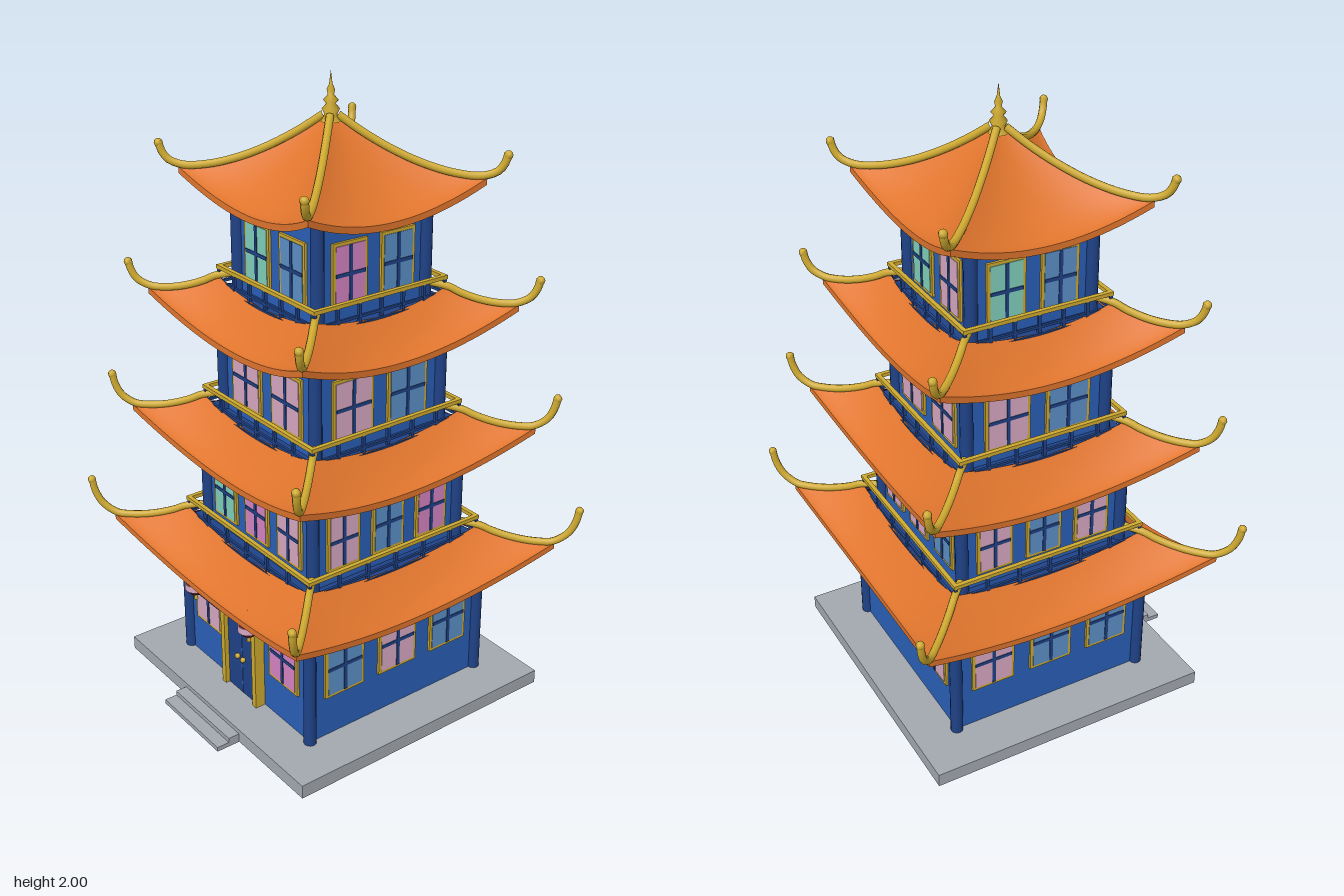
import * as THREE from 'three';
import { ParametricGeometry } from 'three/addons/geometries/ParametricGeometry.js';

const paint = (name, color) => {
  const m = new THREE.MeshStandardMaterial({ color });
  m.name = name;
  return m;
};

export function createModel() {
  const wall = paint('wall blue', 0x2a60b8), navy = paint('dark blue', 0x1f4287);
  const orange = paint('roof orange', 0xe0752d), red = paint('eave red', 0x6e1a22);
  const gold = paint('gold', 0xcfaa30), stone = paint('stone grey', 0xa3a8b0);
  const glass = {
    T: paint('teal glass', 0x80d0bc), B: paint('blue glass', 0x5c90c6),
    L: paint('pale pink glass', 0xd8a8c2), M: paint('pink glass', 0xd684c4),
  };
  const model = new THREE.Group();
  model.name = 'pagoda';

  const add = (parent, name, geo, mat, x = 0, y = 0, z = 0) => {
    const mesh = new THREE.Mesh(geo, mat);
    mesh.name = name;
    mesh.position.set(x, y, z);
    parent.add(mesh);
    return mesh;
  };
  const box = (parent, name, w, h, d, mat, x, y, z) =>
    add(parent, name, new THREE.BoxGeometry(w, h, d), mat, x, y, z);
  const group = (parent, name, turn = 0) => {
    const g = new THREE.Group();
    g.name = name;
    g.rotation.y = turn * Math.PI / 2;
    parent.add(g);
    return g;
  };

  // Stone base and steps
  box(model, 'base', 0.97, 0.045, 0.95, stone, 0, 0.0225, 0);
  box(model, 'upperStep', 0.306, 0.03, 0.05, stone, 0, 0.015, 0.488);
  box(model, 'lowerStep', 0.306, 0.015, 0.045, stone, 0, 0.0075, 0.5325);

  // Window: gold frame, pane and cross bars
  function addWindow(parent, pane, x, y, z, w, h) {
    const g = group(parent, 'window');
    g.position.set(x, y, z);
    box(g, 'frame', w, h, 0.008, gold, 0, 0, 0.004);
    box(g, 'pane', w - 0.02, h - 0.02, 0.004, pane, 0, 0, 0.008);
    box(g, 'uprightBar', 0.011, h - 0.02, 0.005, navy, 0, 0, 0.01);
    box(g, 'crossBar', w - 0.02, 0.011, 0.005, navy, 0, 0, 0.01);
  }

  // Storey: walls, corner columns and windows on four faces (front, right, back, left)
  function addStorey({ half, y0, y1, win }) {
    const g = group(model, 'storey');
    box(g, 'walls', half * 2, y1 - y0, half * 2, wall, 0, (y0 + y1) / 2, 0);
    for (let turn = 0; turn < 4; turn++) {
      const face = group(g, 'face', turn);
      add(face, 'column', new THREE.CylinderGeometry(0.02, 0.02, y1 - y0 + 0.012, 12), navy,
        half, (y0 + y1) / 2 + 0.006, half);
      const row = win.panes[turn];
      for (let i = 0; i < row.length; i++)
        addWindow(face, glass[row[i]], (i - (row.length - 1) / 2) * win.gap, win.y, half, win.w, win.h);
    }
  }

  // Curved roof: swept-up corners, red underside and gold hip ridges
  function addRoof({ inner, mid, corner, eave, drop, base, lift, tip, start }) {
    const g = group(model, 'roof');
    const height = (s, t) => eave + drop * Math.pow(1 - t, 1.5)
      + lift * s * s * (base + (1 - base) * Math.pow(t, 1.3));
    const at = (s, t, down, out) => out.set(
      s * THREE.MathUtils.lerp(inner, corner, t),
      height(s, t) - down,
      THREE.MathUtils.lerp(inner, mid + (corner - mid) * s * s, t));
    const thick = 0.02;
    const top = new ParametricGeometry((u, v, p) => at(u * 2 - 1, 1 - v, 0, p), 20, 12);
    const under = new ParametricGeometry((u, v, p) => at(u * 2 - 1, v, thick, p), 20, 12);
    const rim = new ParametricGeometry((u, v, p) => at(u * 2 - 1, 1, thick * (1 - v), p), 20, 1);

    const path = start.map(([r, y]) => new THREE.Vector3(r, y, r));
    for (const t of [0.04, 0.2, 0.4, 0.6, 0.8, 0.97]) {
      const p = at(1, t, -0.008, new THREE.Vector3());
      path.push(p);
    }
    const [tx, ty] = tip, cy = height(1, 1);
    for (const [a, b] of [[0.55, 0.3], [0.88, 0.65], [1, 1]])
      path.push(new THREE.Vector3(1, 0, 1).multiplyScalar(corner + (tx - corner) * a)
        .setY(cy + (ty - cy) * b));
    const ridge = new THREE.TubeGeometry(new THREE.CatmullRomCurve3(path), 36, 0.012, 8);
    const knob = new THREE.SphereGeometry(0.0135, 8, 6);

    for (let turn = 0; turn < 4; turn++) {
      const side = group(g, 'roofSide', turn);
      add(side, 'tiles', top, orange);
      add(side, 'eaveEdge', rim, orange);
      add(side, 'underside', under, red);
      add(side, 'hipRidge', ridge, gold);
      add(side, 'ridgeTip', knob, gold, tx, ty - 0.006, tx);
    }
  }

  // Balcony: deck with posts, a dark lower rail and a gold handrail
  function addBalcony(half, y) {
    const g = group(model, 'balcony');
    box(g, 'deck', half * 2, 0.03, half * 2, navy, 0, y - 0.015, 0);
    for (let turn = 0; turn < 4; turn++) {
      const side = group(g, 'railing', turn);
      const z = half - 0.007;
      box(side, 'handrail', half * 2, 0.012, 0.014, gold, 0, y + 0.065, z);
      box(side, 'lowerRail', half * 2, 0.008, 0.008, navy, 0, y + 0.018, z);
      for (let i = 0; i < 6; i++)
        box(side, 'post', 0.01, 0.06, 0.01, navy, -z + i * z * 2 / 6, y + 0.03, z);
    }
  }

  const storeys = [
    { half: 0.335, y0: 0.045, y1: 0.52,
      win: { y: 0.285, w: 0.148, h: 0.2, gap: 0.207, panes: ['LLM', 'BLB', 'MLL', 'LBB'] } },
    { half: 0.28, y0: 0.52, y1: 0.92,
      win: { y: 0.682, w: 0.122, h: 0.192, gap: 0.17, panes: ['TML', 'LBM', 'LLB', 'LBL'] } },
    { half: 0.235, y0: 0.92, y1: 1.317,
      win: { y: 1.08, w: 0.15, h: 0.192, gap: 0.204, panes: ['LL', 'LB', 'LL', 'LB'] } },
    { half: 0.197, y0: 1.317, y1: 1.665,
      win: { y: 1.476, w: 0.124, h: 0.192, gap: 0.174, panes: ['TB', 'MB', 'TL', 'TB'] } },
  ];
  storeys.forEach(addStorey);

  const skirts = [
    { inner: 0.328, mid: 0.46, corner: 0.503, eave: 0.44, tip: [0.553, 0.655] },
    { inner: 0.28, mid: 0.405, corner: 0.445, eave: 0.84, tip: [0.488, 1.035] },
    { inner: 0.24, mid: 0.36, corner: 0.395, eave: 1.237, tip: [0.436, 1.41] },
  ];
  skirts.forEach((r, i) => {
    addRoof({ ...r, drop: 0.1, base: 0.38, lift: 0.088,
      start: [[storeys[i + 1].half, r.eave + 0.15]] });
    addBalcony(r.inner + 0.005, r.eave + 0.1);
  });
  addRoof({ inner: 0.002, mid: 0.29, corner: 0.317, eave: 1.63, drop: 0.25, base: 0,
    lift: 0.075, tip: [0.357, 1.78], start: [] });

  // Finial
  const profile = [[0.03, 1.855], [0.018, 1.875], [0.026, 1.89], [0.013, 1.905], [0.022, 1.915],
    [0.009, 1.93], [0.012, 1.945], [0.005, 1.96], [0, 2]];
  add(model, 'finial', new THREE.LatheGeometry(profile.map(([r, y]) => new THREE.Vector2(r, y)), 16), gold);

  // Double door
  const door = group(model, 'door');
  box(door, 'doorPanel', 0.16, 0.28, 0.02, navy, 0, 0.185, 0.345);
  box(door, 'doorGap', 0.004, 0.27, 0.003, wall, 0, 0.18, 0.355);
  box(door, 'lintel', 0.19, 0.022, 0.04, gold, 0, 0.329, 0.35);
  for (const s of [-1, 1]) {
    box(door, 'doorPost', 0.02, 0.28, 0.04, gold, s * 0.085, 0.185, 0.35);
    add(door, 'doorKnob', new THREE.SphereGeometry(0.009, 10, 8), gold, s * 0.015, 0.18, 0.362);
  }

  // Hanging lanterns
  for (const s of [-1, 1]) {
    const lantern = group(model, 'lantern');
    lantern.position.set(s * 0.148, 0.402, 0.425);
    add(lantern, 'lanternShade', new THREE.SphereGeometry(0.033, 16, 10), red);
    add(lantern, 'lanternBand', new THREE.CylinderGeometry(0.034, 0.034, 0.022, 16), glass.L);
    add(lantern, 'lanternCord', new THREE.CylinderGeometry(0.003, 0.003, 0.04, 6), gold, 0, 0.04, 0);
    add(lantern, 'tassel', new THREE.CylinderGeometry(0.004, 0.007, 0.025, 8), gold, 0, -0.038, 0);
  }
  return model;
}
